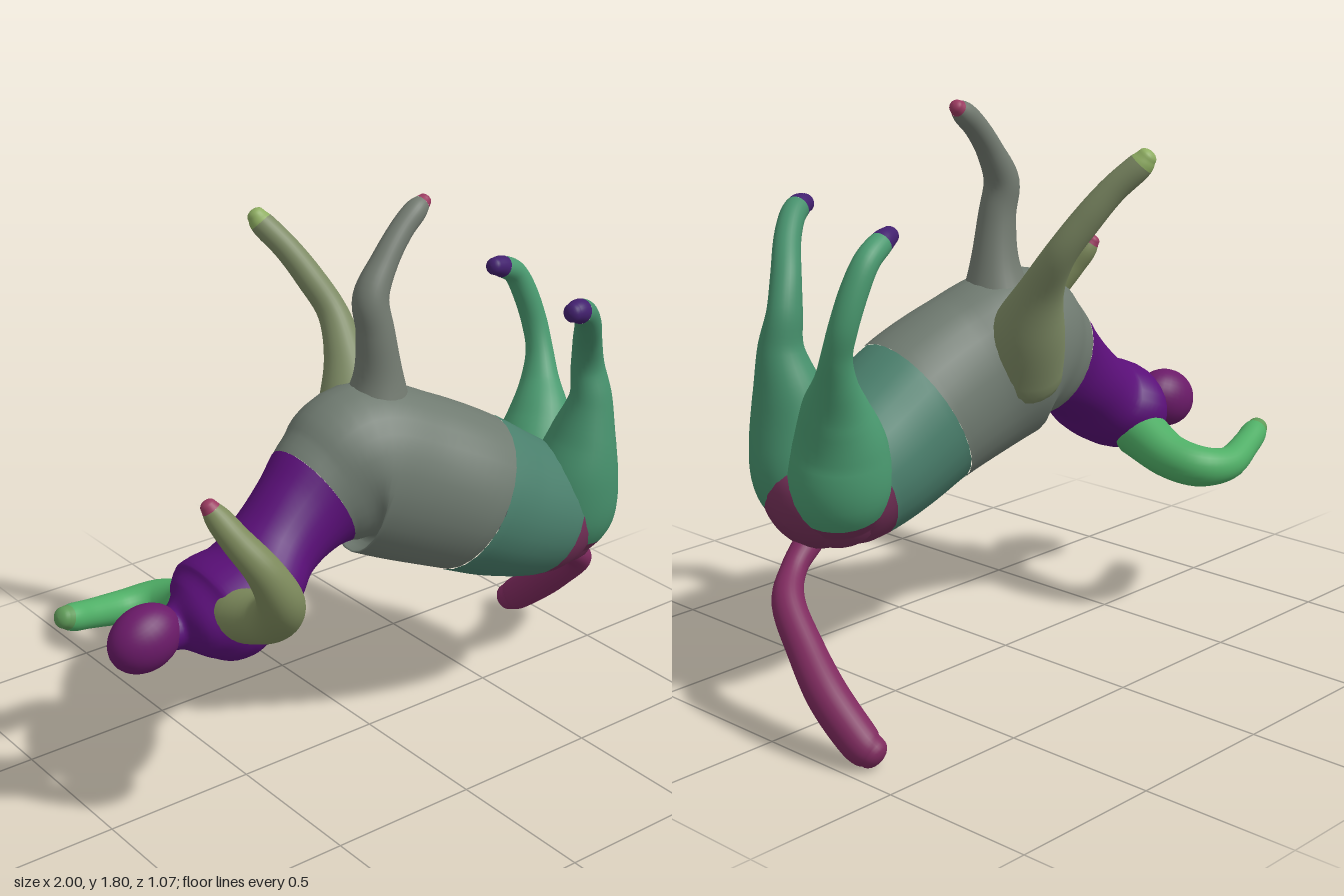
import * as THREE from 'three';

const SIDES = 28;

// Smooth surface through rows [x, y, z, radius, sideRadius?], from row `first` to row `last`.
// The outer ends of the row list are closed with round caps.
function loft(rows, first, last) {
  const n = rows.length - 1;
  const path = new THREE.CatmullRomCurve3(rows.map(r => new THREE.Vector3(r[0], r[1], r[2])), false, 'catmullrom');
  const size = new THREE.CatmullRomCurve3(rows.map(r => new THREE.Vector3(r[3], r[4] ?? r[3], 0)), false, 'catmullrom');
  const steps = Math.max(4, Math.round(6 * (last - first)));
  const rings = [];
  const capSteps = 6;
  const cap = (t, sign) => {
    for (let k = 1; k <= capSteps; k++) {
      const a = (sign < 0 ? capSteps + 1 - k : k) / capSteps * Math.PI / 2;
      rings.push({ t, shift: sign * Math.sin(a) * 0.7, scale: Math.max(Math.cos(a), 0.001) });
    }
  };
  if (first === 0) cap(0, -1);
  for (let i = 0; i <= steps; i++) rings.push({ t: (first + (last - first) * i / steps) / n, shift: 0, scale: 1 });
  if (last === n) cap(1, 1);

  const pos = [], index = [];
  let side = null;
  rings.forEach(({ t, shift, scale }, i) => {
    const tangent = path.getTangent(t);
    if (!side) side = Math.abs(tangent.z) > 0.8 ? new THREE.Vector3(1, 0, 0) : new THREE.Vector3(0, 0, 1);
    side.addScaledVector(tangent, -side.dot(tangent)).normalize();
    const up = tangent.clone().cross(side);
    const r = size.getPoint(t);
    const centre = path.getPoint(t).addScaledVector(tangent, shift * Math.min(r.x, r.y));
    for (let j = 0; j < SIDES; j++) {
      const a = j / SIDES * Math.PI * 2;
      const p = centre.clone().addScaledVector(side, Math.cos(a) * r.y * scale).addScaledVector(up, Math.sin(a) * r.x * scale);
      pos.push(p.x, p.y, p.z);
      if (i < rings.length - 1) {
        const b = i * SIDES + (j + 1) % SIDES, c = i * SIDES + j;
        index.push(c, b, c + SIDES, b, b + SIDES, c + SIDES);
      }
    }
  });
  const g = new THREE.BufferGeometry();
  g.setAttribute('position', new THREE.Float32BufferAttribute(pos, 3));
  g.setIndex(index);
  g.computeVertexNormals();
  return g;
}

export function createModel() {
  const model = new THREE.Group();
  const add = (name, color, geometry) => {
    const mesh = new THREE.Mesh(geometry, new THREE.MeshStandardMaterial({ color }));
    mesh.name = name;
    model.add(mesh);
    return mesh;
  };
  // One loft cut into coloured bands [name, color, lastRow]
  const banded = (rows, bands) => {
    let start = 0;
    for (const [name, color, end = rows.length - 1] of bands) {
      add(name, color, loft(rows, start, end));
      start = end;
    }
  };

  // Neck, human torso, horse barrel and rump in one sweep
  banded([
    [-0.83, 0.66, 0.06, 0.06, 0.065], [-0.77, 0.66, 0.06, 0.07, 0.08], [-0.71, 0.67, 0.07, 0.115, 0.17],
    [-0.64, 0.685, 0.075, 0.15, 0.215], [-0.53, 0.735, 0.08, 0.145, 0.19], [-0.42, 0.815, 0.055, 0.14, 0.15],
    [-0.31, 0.89, 0.04, 0.165, 0.145], [-0.2, 0.95, 0.03, 0.215, 0.175], [-0.08, 0.985, 0.035, 0.27, 0.22],
    [0.08, 0.925, 0.08, 0.275, 0.22], [0.25, 0.85, 0.12, 0.265, 0.24], [0.4, 0.77, 0.135, 0.25, 0.24],
    [0.53, 0.71, 0.14, 0.23, 0.235], [0.64, 0.665, 0.14, 0.2, 0.215], [0.72, 0.63, 0.14, 0.14, 0.16],
  ], [['torso', 0x5a0f78, 6.6], ['barrel', 0x6f7a70, 10.2], ['hindquarters', 0x4a7f6c, 12.4], ['rump', 0x743058]]);

  const head = add('head', 0x6a1a68, new THREE.SphereGeometry(1, 28, 20));
  head.scale.set(0.12, 0.1, 0.09);
  head.position.set(-0.885, 0.66, 0.06);
  head.rotation.z = 0.35;

  // Arms
  banded([
    [-0.65, 0.72, 0.2, 0.085], [-0.635, 0.77, 0.35, 0.075], [-0.67, 0.87, 0.455, 0.07], [-0.73, 0.99, 0.47, 0.055],
    [-0.79, 1.09, 0.42, 0.045], [-0.82, 1.15, 0.38, 0.038], [-0.84, 1.19, 0.36, 0.024],
  ], [['leftArm', 0x7d8a5c, 5.7], ['leftHand', 0x9a3a60]]);
  banded([
    [-0.6, 0.62, -0.06, 0.09], [-0.58, 0.57, -0.2, 0.075], [-0.615, 0.545, -0.305, 0.068], [-0.72, 0.54, -0.345, 0.055],
    [-0.85, 0.57, -0.32, 0.046], [-0.92, 0.59, -0.3, 0.044], [-0.96, 0.605, -0.29, 0.034],
  ], [['rightArm', 0x4fae66, 5.6], ['rightHand', 0x5f9a58]]);

  // Front legs
  banded([
    [-0.01, 1.1, 0.04, 0.14], [-0.005, 1.27, 0.05, 0.08], [-0.02, 1.42, 0.055, 0.06], [-0.03, 1.53, 0.045, 0.056],
    [0.03, 1.63, 0.035, 0.043], [0.1, 1.71, 0.025, 0.038], [0.16, 1.76, 0.02, 0.036], [0.2, 1.785, 0.015, 0.022],
  ], [['leftFrontLeg', 0x727a70, 6.7], ['leftFrontHoof', 0x9a3a60]]);
  banded([
    [0, 0.96, -0.06, 0.14], [0.04, 1.1, -0.135, 0.115], [0.07, 1.24, -0.215, 0.07], [0.085, 1.36, -0.3, 0.05],
    [0.045, 1.47, -0.37, 0.046], [0, 1.56, -0.43, 0.042], [-0.045, 1.63, -0.49, 0.04], [-0.06, 1.66, -0.51, 0.03],
  ], [['rightFrontLeg', 0x7d8a64, 6.2], ['rightFrontHoof', 0x8fae62]]);

  // Hind legs: buttock, thigh and shank, hoof
  banded([
    [0.64, 0.6, 0.19, 0.13, 0.12], [0.66, 0.7, 0.215, 0.16, 0.155], [0.67, 0.83, 0.235, 0.145, 0.145],
    [0.69, 0.96, 0.245, 0.105, 0.115], [0.705, 1.09, 0.255, 0.072, 0.07], [0.695, 1.2, 0.245, 0.058, 0.05],
    [0.66, 1.3, 0.275, 0.047], [0.6, 1.39, 0.335, 0.042], [0.54, 1.45, 0.38, 0.04], [0.49, 1.475, 0.405, 0.038],
    [0.455, 1.48, 0.415, 0.03],
  ], [['leftButtock', 0x743058, 0.5], ['leftHindLeg', 0x46906c, 8.8], ['leftHindHoof', 0x42206e]]);
  banded([
    [0.64, 0.6, 0.08, 0.13, 0.12], [0.665, 0.7, 0.05, 0.16, 0.155], [0.68, 0.83, 0.03, 0.14, 0.145],
    [0.72, 0.95, 0, 0.1, 0.11], [0.76, 1.05, -0.045, 0.062, 0.068], [0.785, 1.14, -0.08, 0.046], [0.785, 1.23, -0.11, 0.043],
    [0.755, 1.33, -0.125, 0.042], [0.71, 1.41, -0.13, 0.039], [0.64, 1.45, -0.115, 0.036], [0.59, 1.465, -0.1, 0.028],
  ], [['rightButtock', 0x743058, 0.5], ['rightHindLeg', 0x4a9a70, 9], ['rightHindHoof', 0x42206e]]);

  // Tail
  banded([
    [0.7, 0.52, 0.15, 0.045], [0.79, 0.455, 0.125, 0.04], [0.87, 0.385, 0.06, 0.05], [0.91, 0.28, -0.06, 0.056],
    [0.935, 0.18, -0.18, 0.062], [0.93, 0.08, -0.3, 0.06], [0.915, 0.05, -0.34, 0.048],
  ], [['tail', 0x7e2a5e]]);

  return model;
}
